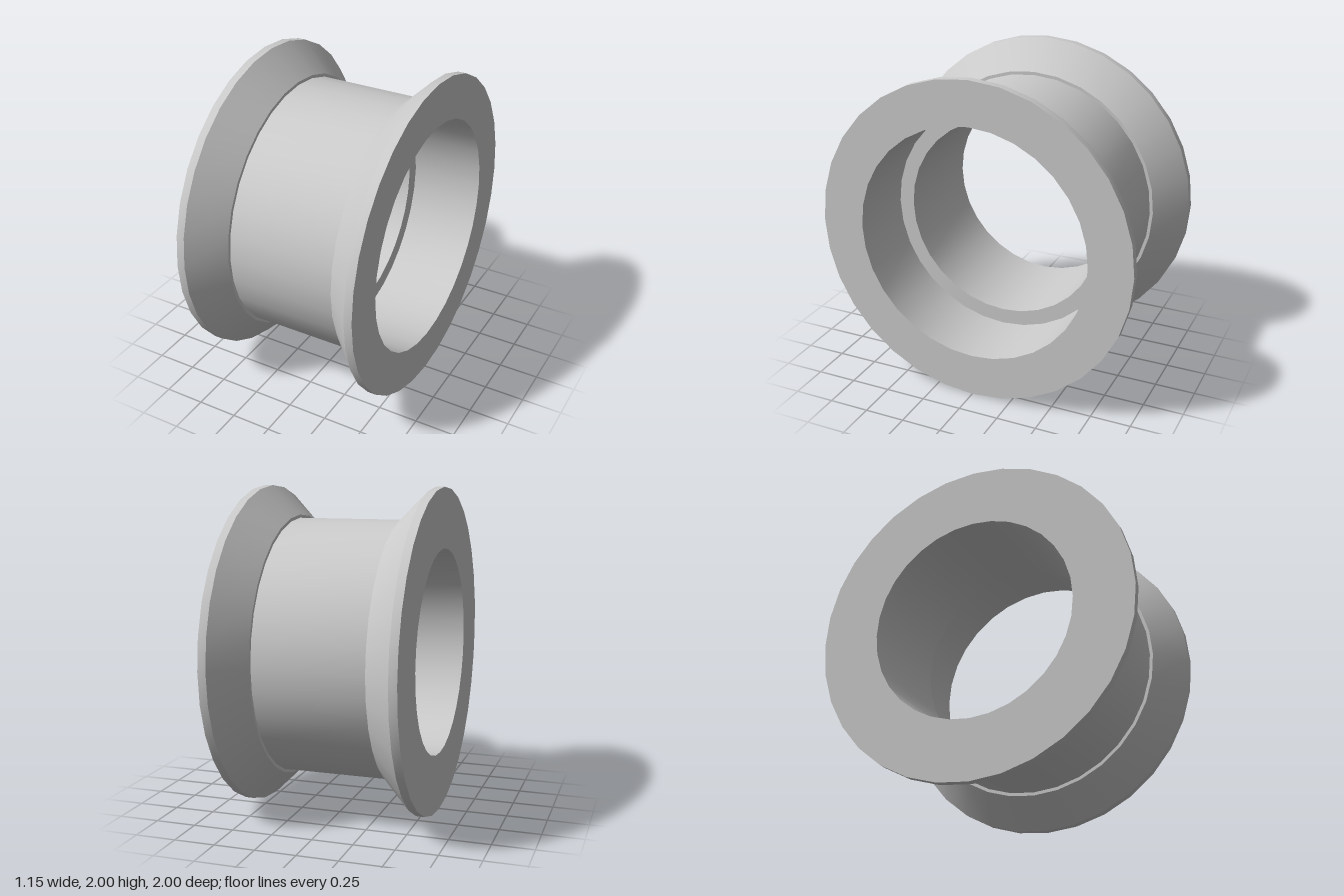
import * as THREE from 'three';
import { toCreasedNormals } from 'three/addons/utils/BufferGeometryUtils.js';

const SEGMENTS = 32;
const HALF = 0.575;        // half the spool length
const RIM = 0.525;         // inner edge of the flange rim
const NECK = 0.343;        // where the flange cone meets the barrel
const STEP = 0.115;        // shoulder inside the bore

export function createModel() {
  const group = new THREE.Group();
  group.name = 'flangedSpool';

  // One flange, from its outer end to the barrel: [radius, distance from the middle]
  const flange = [[1, HALF], [1, RIM], [0.82, NECK], [0.8, NECK]];

  // Closed section: up the outside, then back down the stepped bore
  const section = [
    [0.633, -HALF],
    ...flange.map(([r, a]) => [r, -a]),
    ...[...flange].reverse(),
    [0.73, HALF],
    [0.73, STEP],
    [0.633, STEP],
    [0.633, -HALF],
  ].map(([r, a]) => new THREE.Vector2(r, a));

  // Smooth around the axis, sharp at the section corners
  const geometry = toCreasedNormals(new THREE.LatheGeometry(section, SEGMENTS), 0.5);
  const spool = new THREE.Mesh(geometry, new THREE.MeshStandardMaterial({ color: 0xcccccc }));
  spool.name = 'spool';
  spool.rotation.z = -Math.PI / 2; // lay the axis along x, wide bore towards +x
  spool.position.y = 1;
  group.add(spool);

  return group;
}
